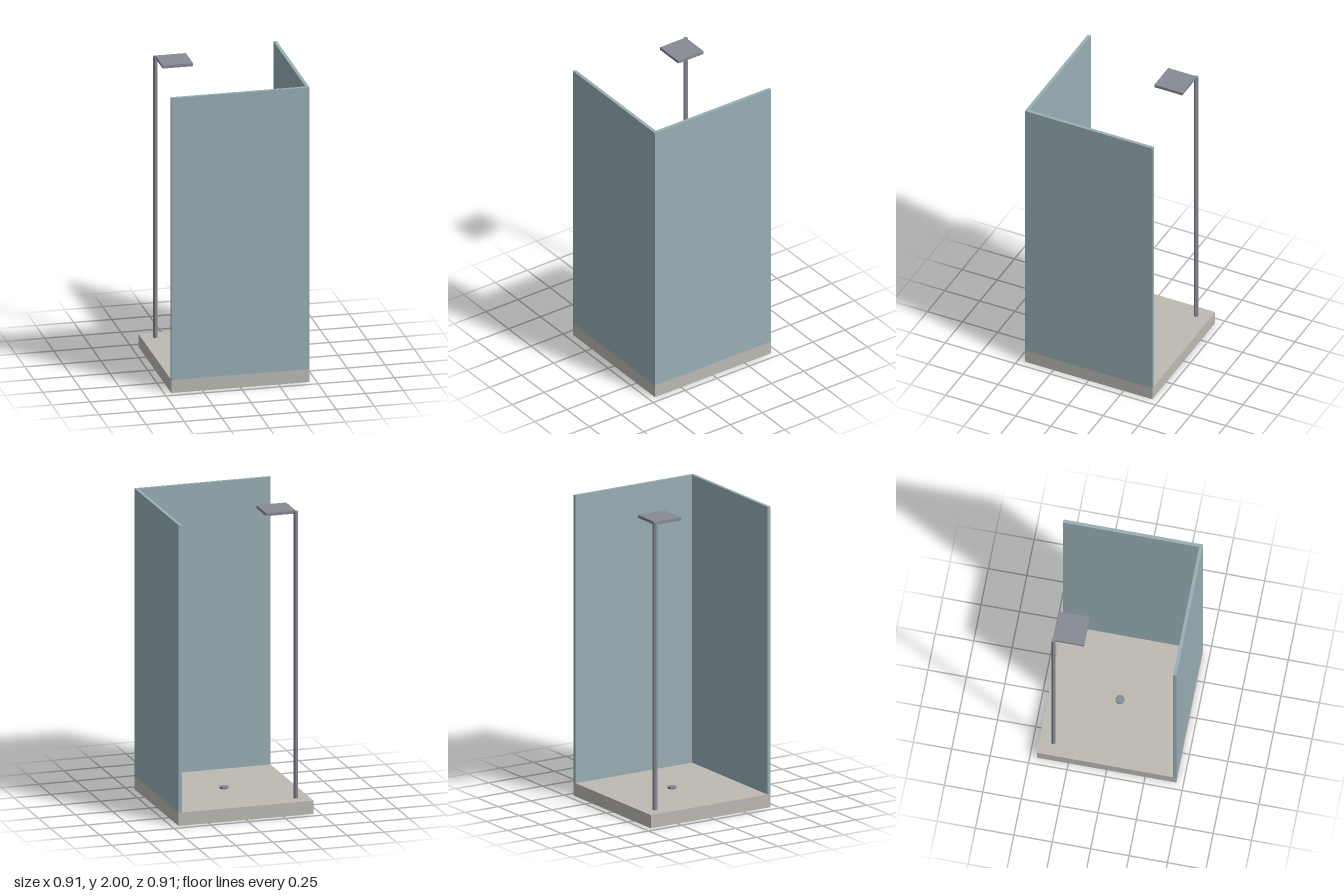
import * as THREE from 'three';

const SIZE = 0.909, TRAY_H = 0.088, TOP = 2, PANEL_T = 0.022;

export function createModel() {
  const model = new THREE.Group();
  model.name = 'showerCabin';

  const material = (name, color) => {
    const m = new THREE.MeshStandardMaterial({ color });
    m.name = name;
    return m;
  };
  const ceramic = material('warm grey ceramic', 0xbdbab4);
  const glass = material('blue grey glass', 0x99afb5);
  const metal = material('grey metal', 0x888a94);
  metal.flatShading = true;

  const add = (name, geometry, mat, x, y, z) => {
    const mesh = new THREE.Mesh(geometry, mat);
    mesh.name = name;
    mesh.position.set(x, y, z);
    model.add(mesh);
    return mesh;
  };

  // Tray
  add('tray', new THREE.BoxGeometry(SIZE, TRAY_H, SIZE), ceramic, 0, TRAY_H / 2, 0);

  // Two glass walls meeting at the front left corner
  const panelH = TOP - TRAY_H, panelY = TRAY_H + panelH / 2;
  const offset = SIZE / 2 - PANEL_T / 2;
  add('frontPanel', new THREE.BoxGeometry(SIZE, panelH, PANEL_T), glass, 0, panelY, offset);
  add('sidePanel', new THREE.BoxGeometry(PANEL_T, panelH, SIZE - PANEL_T), glass,
    offset, panelY, -PANEL_T / 2);

  // Drain cover
  add('drain', new THREE.CylinderGeometry(0.03, 0.03, 0.014, 8), metal, 0, TRAY_H + 0.007, 0);

  // Riser pipe in the back right corner, with a square rain head
  const corner = -0.364, pipeH = panelH - 0.003, head = 0.2, headT = 0.02;
  const pipe = add('riserPipe', new THREE.CylinderGeometry(0.0145, 0.0145, pipeH, 6), metal,
    corner, TRAY_H + pipeH / 2, corner);
  pipe.rotation.y = Math.PI / 6;
  add('showerHead', new THREE.BoxGeometry(head, headT, head), metal,
    corner + head / 2, TOP - headT / 2, corner + head / 2);

  return model;
}
